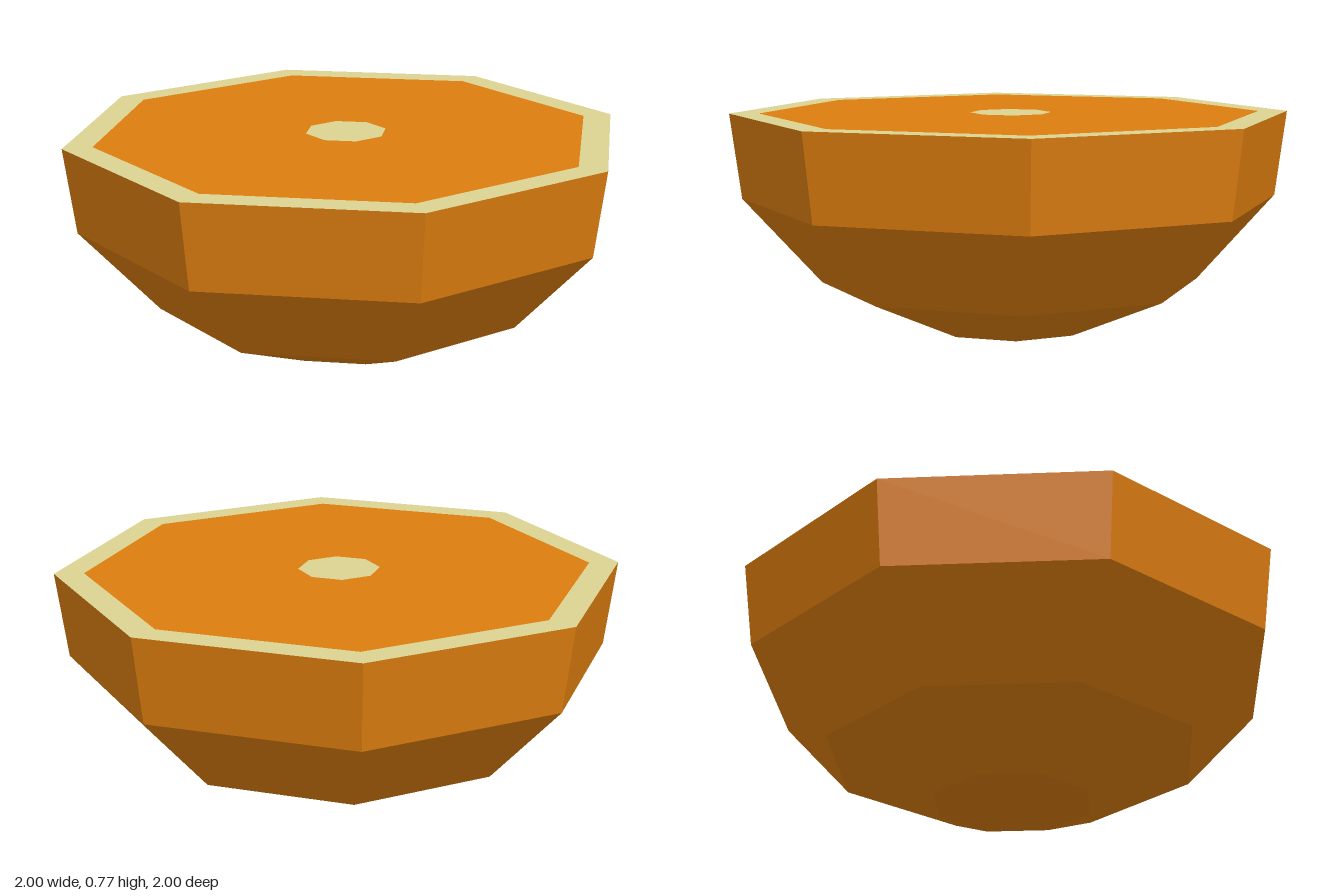
import * as THREE from 'three';

const SIDES = 8;
const TOP = 0.775;

export function createModel() {
  const orange = new THREE.MeshStandardMaterial({ name: 'orange', color: 0xdc7d0f, flatShading: true });
  const pith = new THREE.MeshStandardMaterial({ name: 'pith', color: 0xdcd493, flatShading: true });
  const group = new THREE.Group();
  group.name = 'halfOrange';

  const add = (name, geometry, material) => {
    const mesh = new THREE.Mesh(geometry, material);
    mesh.name = name;
    group.add(mesh);
    return mesh;
  };

  // Faceted peel, from the flat base up to the cut rim
  const profile = [[0.29, 0], [0.68, 0.165], [0.96, 0.47], [1, TOP]]
    .map(([r, y]) => new THREE.Vector2(r, y));
  add('peel', new THREE.LatheGeometry(profile, SIDES), orange);
  add('base', new THREE.CircleGeometry(0.29, SIDES).rotateX(Math.PI / 2), orange);

  // Cut face: concentric octagons that meet edge to edge
  const cut = (geometry) => geometry.rotateX(-Math.PI / 2).translate(0, TOP, 0);
  add('pithRim', cut(new THREE.RingGeometry(0.895, 1, SIDES)), pith);
  add('flesh', cut(new THREE.RingGeometry(0.145, 0.895, SIDES)), orange);
  add('core', cut(new THREE.CircleGeometry(0.145, SIDES)), pith);

  return group;
}
